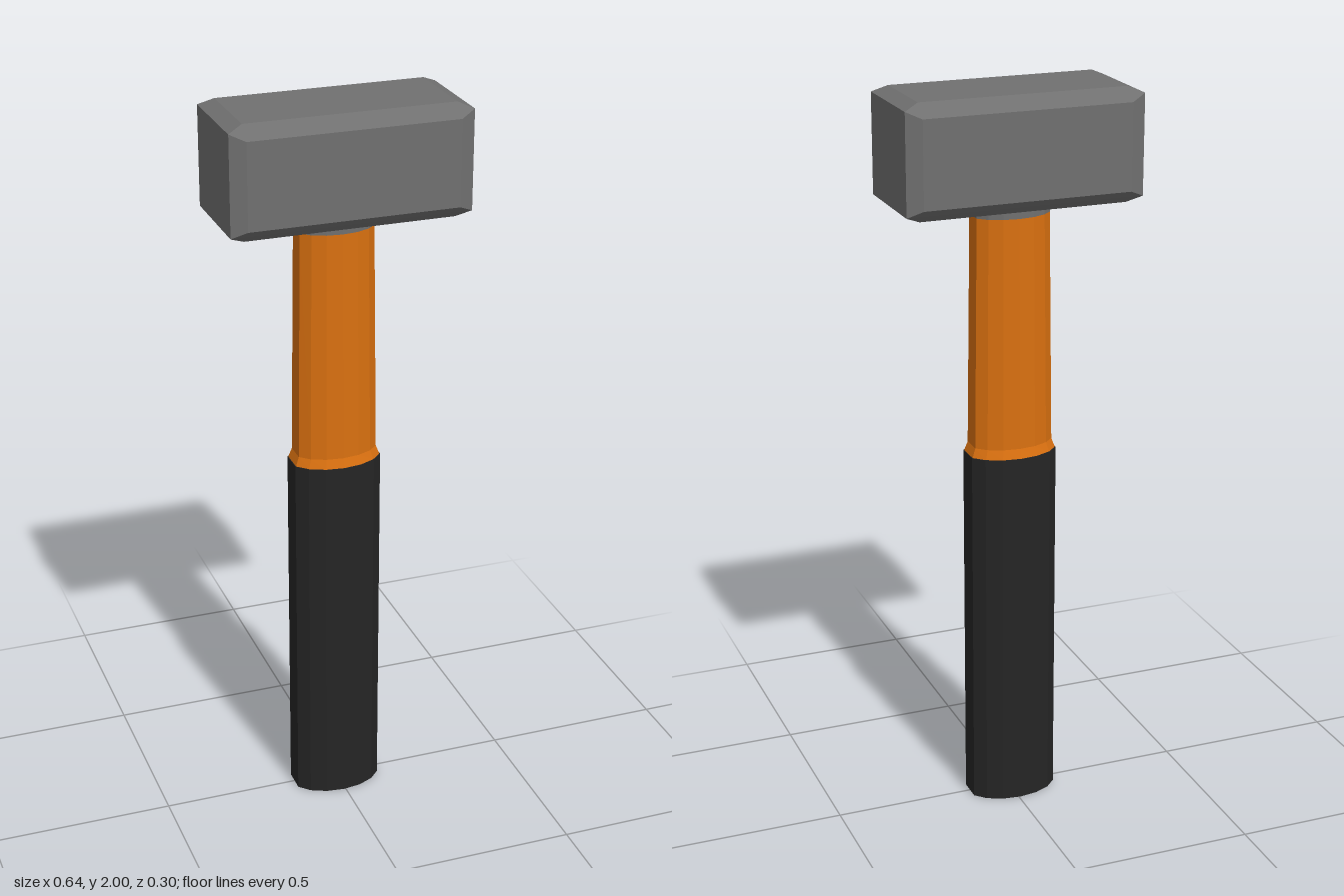
import * as THREE from 'three';
import { ConvexGeometry } from 'three/addons/geometries/ConvexGeometry.js';

const FLAT = Math.cos(Math.PI / 8); // the oval is cut flat at both narrow ends

function part(name, geometry, color) {
  const material = new THREE.MeshStandardMaterial({ color, flatShading: true });
  const mesh = new THREE.Mesh(geometry, material);
  mesh.name = name;
  return mesh;
}

// Oval solid from rows of [half width x, half depth z, y], bottom to top
function ovalSolid(rows) {
  const profile = rows.map(([, , y]) => new THREE.Vector2(1, y));
  const geometry = new THREE.LatheGeometry(profile, 16);
  const pos = geometry.attributes.position;
  for (let i = 0; i < pos.count; i++) {
    const [rx, rz] = rows[i % rows.length];
    const x = THREE.MathUtils.clamp(pos.getX(i), -FLAT, FLAT) / FLAT;
    pos.setXYZ(i, x * rx - 0.005, pos.getY(i), pos.getZ(i) * rz);
  }
  geometry.computeVertexNormals();
  return geometry;
}

// Block with bevelled long edges, tapering to a rectangle at each striking face
function headGeometry() {
  const points = [];
  for (const sx of [-1, 1]) for (const sy of [-1, 1]) for (const sz of [-1, 1]) {
    points.push(
      new THREE.Vector3(sx * 0.32, sy * 0.133, sz * 0.133),
      new THREE.Vector3(sx * 0.28, sy * 0.15, sz * 0.115),
      new THREE.Vector3(sx * 0.28, sy * 0.115, sz * 0.15)
    );
  }
  return new ConvexGeometry(points).translate(0, 1.85, 0);
}

export function createModel() {
  const model = new THREE.Group();
  model.name = 'hammer';

  model.add(part('head', headGeometry(), 0x707070));

  // Short collar under the head
  model.add(part('collar', ovalSolid([
    [0.101, 0.07, 1.67], [0.101, 0.07, 1.72],
  ]), 0x707070));

  // Tapered shaft, flaring where it meets the grip
  model.add(part('shaft', ovalSolid([
    [0.118, 0.085, 1.02], [0.109, 0.076, 1.045], [0.101, 0.07, 1.67], [0, 0, 1.67],
  ]), 0xd97010));

  // Closed rubber grip
  model.add(part('grip', ovalSolid([
    [0, 0, 0], [0.12, 0.087, 0], [0.12, 0.087, 1.02], [0, 0, 1.02],
  ]), 0x252525));

  return model;
}
